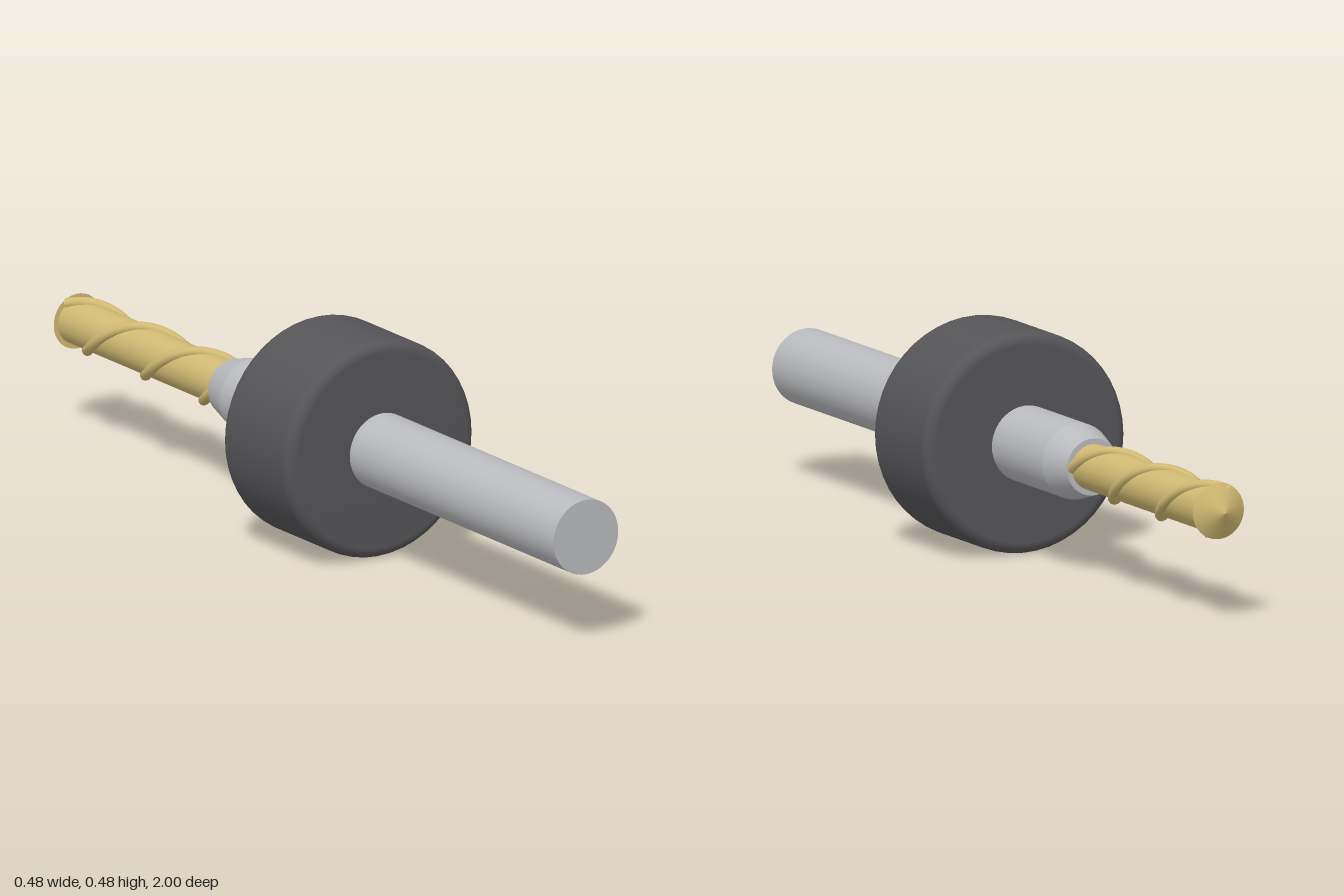
import * as THREE from 'three';

const AXIS_Y = 0.242;
const SIDES = 48;

export function createModel() {
  const model = new THREE.Group();
  model.name = 'drillBit';
  // Everything is built around the z axis, then lifted to stand on the ground
  const tool = new THREE.Group();
  tool.name = 'tool';
  tool.position.y = AXIS_Y;
  model.add(tool);

  const mat = (name, color) => {
    const m = new THREE.MeshStandardMaterial({ color });
    m.name = name;
    return m;
  };
  const steel = mat('steel', 0xb9babd);
  const darkRubber = mat('darkRubber', 0x555558);
  const gold = mat('gold', 0xd0b972);

  const add = (name, geometry, material) => {
    const mesh = new THREE.Mesh(geometry, material);
    mesh.name = name;
    tool.add(mesh);
    return mesh;
  };

  // Round section along z: rFront at zFront, rBack at zBack
  const section = (name, rFront, rBack, zFront, zBack, material) => {
    const g = new THREE.CylinderGeometry(rFront, rBack, zFront - zBack, SIDES);
    g.rotateX(Math.PI / 2).translate(0, 0, (zFront + zBack) / 2);
    return add(name, g, material);
  };

  section('shank', 0.083, 0.083, 1, -0.29, steel);
  section('taper', 0.083, 0.062, -0.29, -0.367, steel);
  section('core', 0.05, 0.05, -0.365, -0.967, gold);
  section('tip', 0.061, 0, -0.966, -1, gold);

  // Collar with rounded rims, profile running back to front
  const R = 0.241, back = -0.05, front = 0.212, bevel = 0.025;
  const profile = [new THREE.Vector2(0.08, back)];
  const rim = (zc, from) => {
    for (let i = 0; i <= 6; i++) {
      const a = from + (i / 6) * Math.PI / 2;
      profile.push(new THREE.Vector2(R - bevel + bevel * Math.cos(a), zc + bevel * Math.sin(a)));
    }
  };
  rim(back + bevel, -Math.PI / 2);
  rim(front - bevel, 0);
  profile.push(new THREE.Vector2(0.08, front));
  add('collar', new THREE.LatheGeometry(profile, SIDES).rotateX(Math.PI / 2), darkRubber);

  // Two opposite spiral cutting edges wound around the core
  const zStart = -0.365, zEnd = -0.968, pitch = 0.45, edgeRadius = 0.012;
  for (let k = 0; k < 2; k++) {
    const points = [];
    for (let i = 0; i <= 40; i++) {
      const z = zStart + (zEnd - zStart) * (i / 40);
      const a = ((zStart - z) / pitch) * Math.PI * 2 + k * Math.PI;
      points.push(new THREE.Vector3(0.05 * Math.cos(a), 0.05 * Math.sin(a), z));
    }
    const curve = new THREE.CatmullRomCurve3(points);
    add(k ? 'spiralEdgeB' : 'spiralEdgeA', new THREE.TubeGeometry(curve, 96, edgeRadius, 10), gold);
  }

  return model;
}
